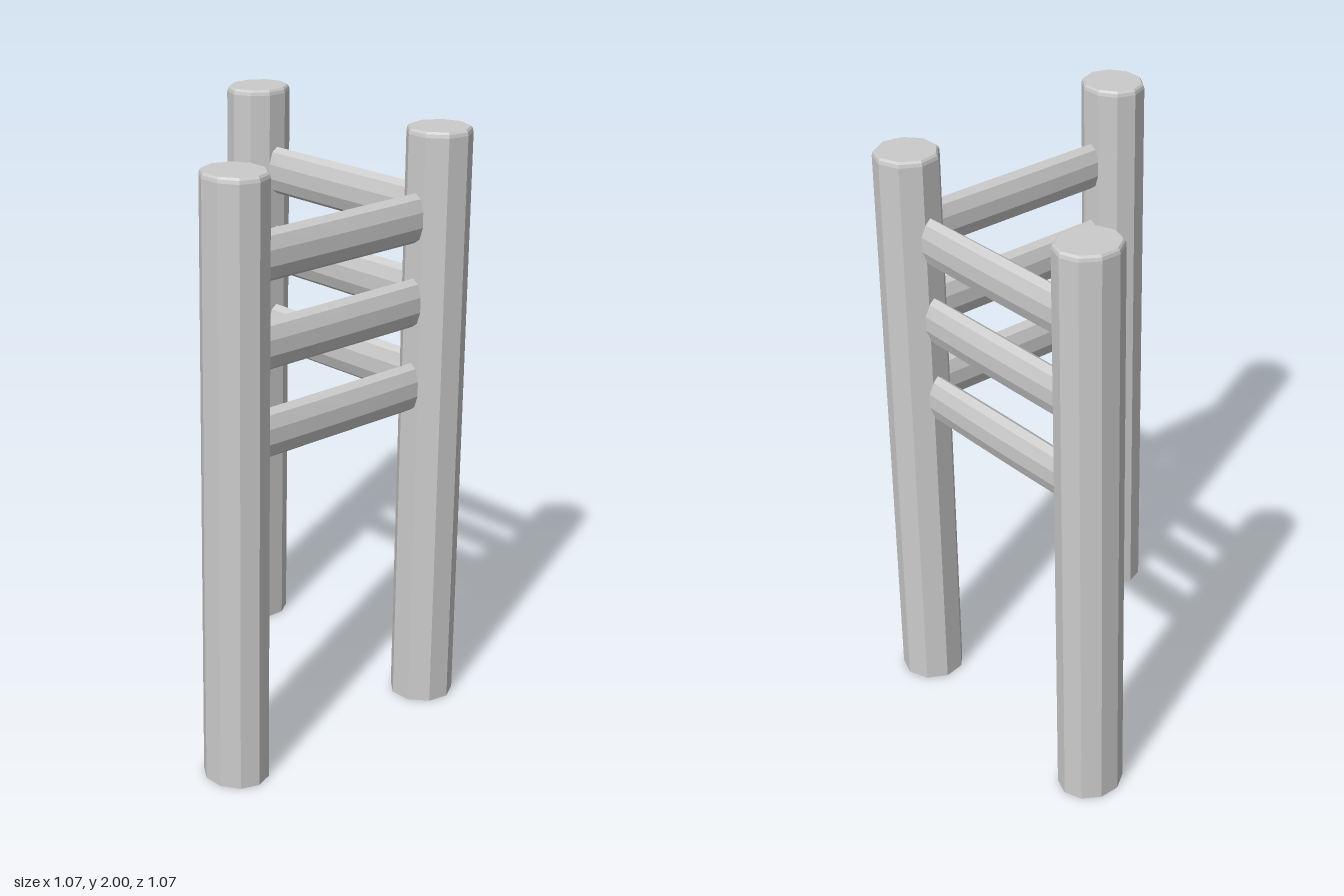
import * as THREE from 'three';

const material = new THREE.MeshStandardMaterial({ color: 0xcccccc, flatShading: true });

// Faceted upright with a small rounded edge at its top
function makePost(name, { x, z, r, sides, turn, sx = 1, sz = 1 }) {
  const profile = [[0, 0], [r, 0], [r, 1.982], [r - 0.003, 1.993], [r - 0.009, 2], [0, 2]]
    .map(([px, py]) => new THREE.Vector2(px, py));
  const geometry = new THREE.LatheGeometry(profile, sides, turn);
  geometry.scale(sx, 1, sz);
  geometry.translate(x, 0, z);
  const post = new THREE.Mesh(geometry, material);
  post.name = name;
  return post;
}

// Oval ten-sided rail along x, swelling slightly at mid-span
function makeRail(name, length) {
  const geometry = new THREE.CylinderGeometry(1, 1, length, 10, 6);
  const p = geometry.attributes.position;
  for (let i = 0; i < p.count; i++) {
    const along = p.getY(i);
    const swell = Math.cos((along / length) * Math.PI);
    p.setXYZ(i, along, p.getZ(i) * 0.082, p.getX(i) * (0.036 + 0.005 * swell));
  }
  geometry.computeVertexNormals();
  const rail = new THREE.Mesh(geometry, material);
  rail.name = name;
  return rail;
}

export function createModel() {
  const group = new THREE.Group();
  group.name = 'cornerLadderFrame';

  // Three uprights in an L
  group.add(
    makePost('rightPost', { x: -0.437, z: -0.422, r: 0.1125, sides: 10, turn: 0, sx: 0.91 }),
    makePost('cornerPost', { x: 0.418, z: -0.427, r: 0.108, sides: 9, turn: Math.PI }),
    makePost('frontPost', { x: 0.419, z: 0.435, r: 0.1125, sides: 10, turn: Math.PI / 2, sz: 0.91 }),
  );

  // Three rails on each arm of the L
  [1.147, 1.435, 1.717].forEach((y, i) => {
    const back = makeRail(`backRail${i + 1}`, 0.8);
    back.position.set(-0.01, y, -0.422);
    const side = makeRail(`sideRail${i + 1}`, 0.8);
    side.rotation.y = Math.PI / 2;
    side.position.set(0.419, y, 0.005);
    group.add(back, side);
  });

  return group;
}
